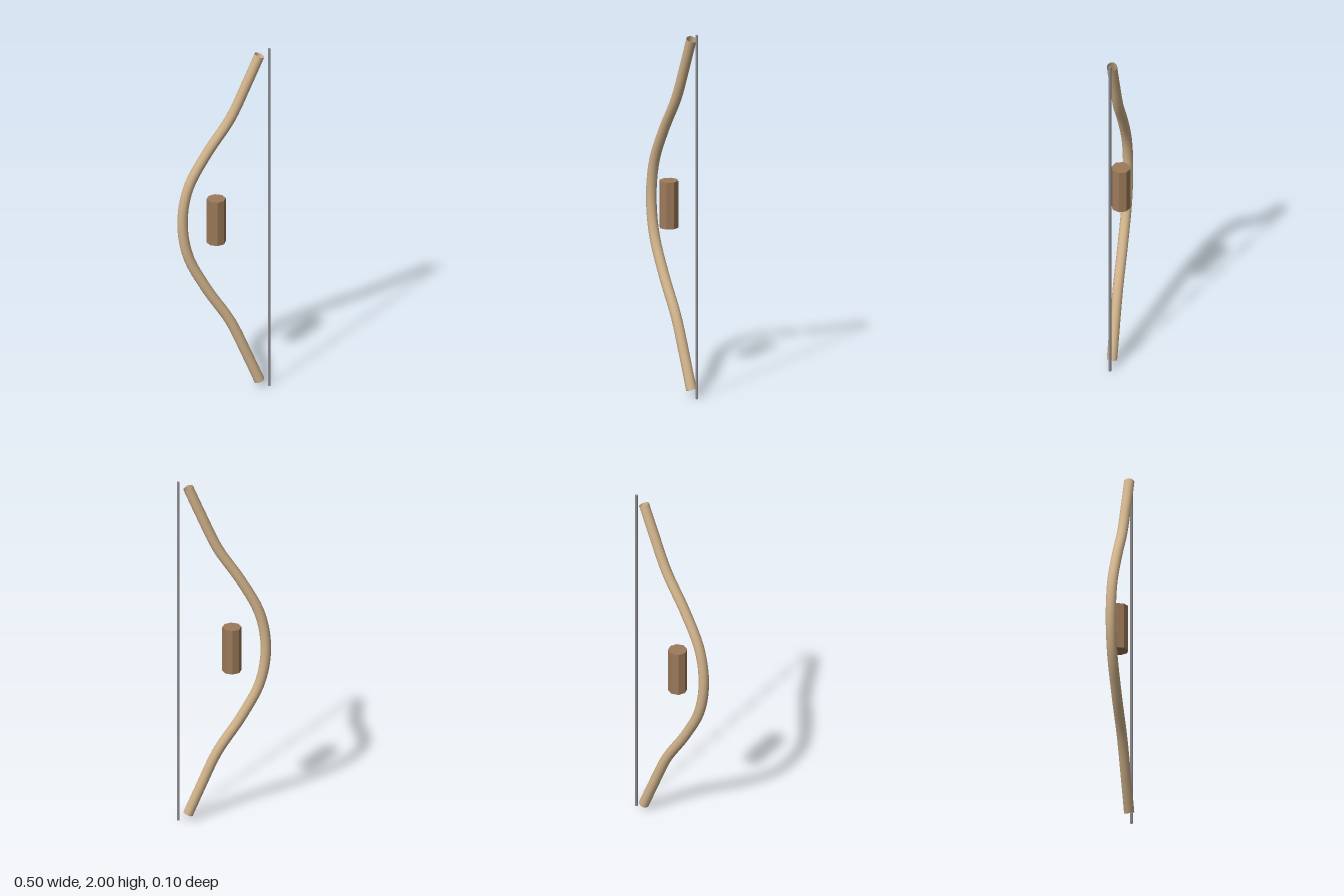
import * as THREE from 'three';

const WOOD = 0xd2b48c, GRIP = 0x9c7a5a, STRING = 0x909094;

function addMesh(group, name, geometry, color, options = {}) {
  const mesh = new THREE.Mesh(geometry, new THREE.MeshStandardMaterial({ color, ...options }));
  mesh.name = name;
  group.add(mesh);
  return mesh;
}

export function createModel() {
  const bow = new THREE.Group();
  bow.name = 'bow';

  // Curved stave: one limb from tip to middle as [x, distance from the middle], mirrored for the other
  const limb = [[0.189, 0.964], [0.121, 0.8], [0.033, 0.6], [-0.093, 0.4], [-0.192, 0.2]];
  const lower = limb.map(([x, y]) => new THREE.Vector3(x, 1 - y, 0));
  const upper = limb.map(([x, y]) => new THREE.Vector3(x, 1 + y, 0)).reverse();
  const path = new THREE.CatmullRomCurve3([...lower, new THREE.Vector3(-0.222, 1, 0), ...upper]);
  // The tube is open at both tips
  addMesh(bow, 'stave', new THREE.TubeGeometry(path, 48, 0.028, 12), WOOD, { side: THREE.DoubleSide });

  // Eight-sided grip between stave and string
  const grip = addMesh(bow, 'grip', new THREE.CylinderGeometry(0.051, 0.051, 0.257, 8), GRIP, { flatShading: true });
  grip.position.set(-0.042, 1.003, 0);

  // Straight string
  const string = addMesh(bow, 'string', new THREE.CylinderGeometry(0.0075, 0.0075, 2, 8), STRING);
  string.position.set(0.2415, 1, 0);

  return bow;
}
